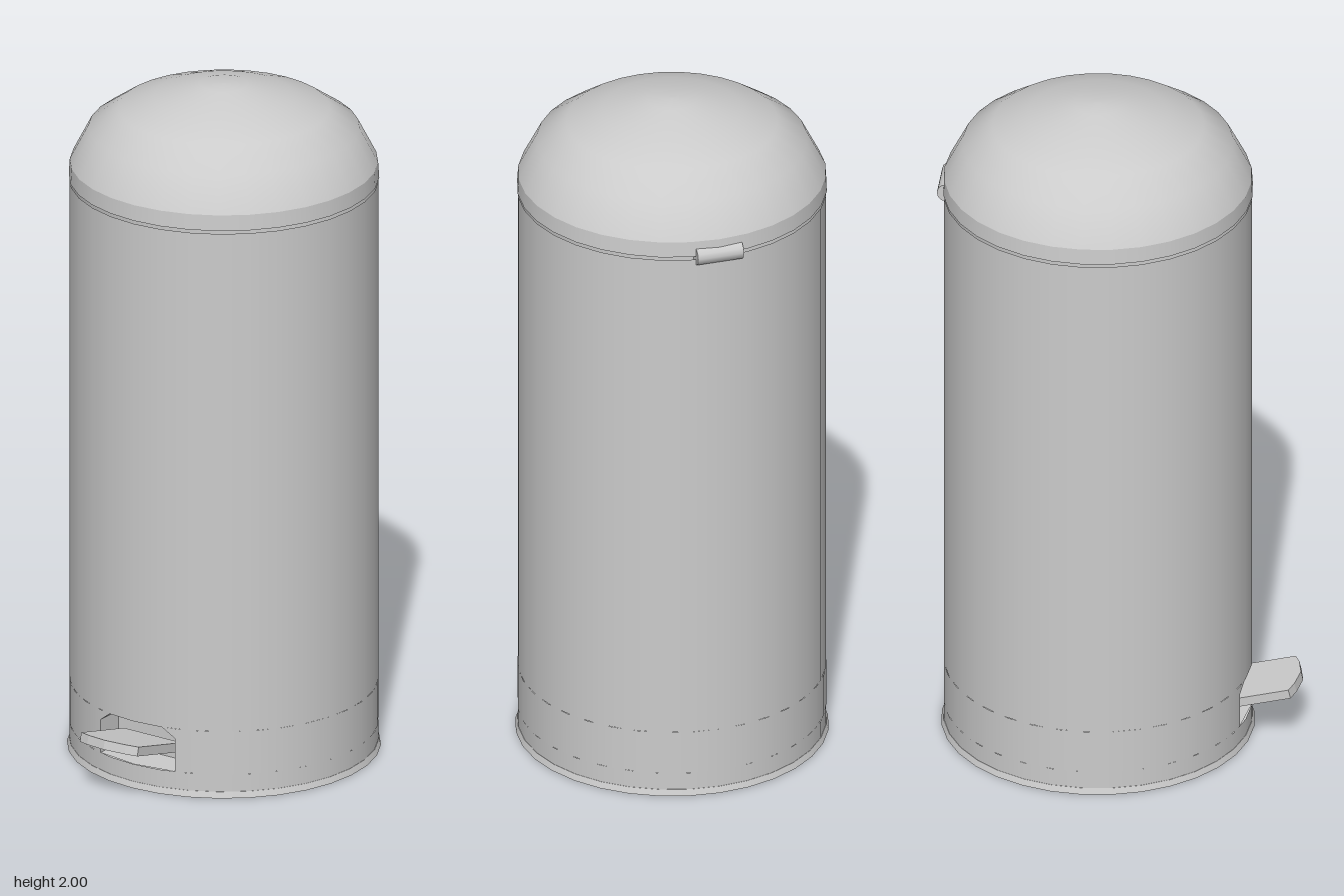
import * as THREE from 'three';

const SIDES = 32, R = 0.438, CZ = -0.063;
const grey = new THREE.MeshStandardMaterial({ color: 0xcccccc });
const thin = new THREE.MeshStandardMaterial({ color: 0xcccccc, side: THREE.DoubleSide });

function add(parent, name, geometry, material = grey) {
  const mesh = new THREE.Mesh(geometry, material);
  mesh.name = name;
  parent.add(mesh);
  return mesh;
}

// Open band of the round wall between two heights, with an optional gap facing the front
function band(y0, y1, gap = 0) {
  return new THREE.CylinderGeometry(R, R, y1 - y0, SIDES, 1, true, gap, Math.PI * 2 - 2 * gap)
    .translate(0, (y0 + y1) / 2, 0);
}

function lathe(points) {
  return new THREE.LatheGeometry(points.map(([r, y]) => new THREE.Vector2(r, y)), SIDES);
}

function fromTriangles(positions) {
  const g = new THREE.BufferGeometry();
  g.setAttribute('position', new THREE.Float32BufferAttribute(positions, 3));
  g.computeVertexNormals();
  return g;
}

export function createModel() {
  const model = new THREE.Group();
  model.name = 'pedalBin';
  const bin = new THREE.Group();
  bin.name = 'bin';
  bin.position.z = CZ;
  model.add(bin);

  // Foot ring with a closed underside
  add(bin, 'base', new THREE.CylinderGeometry(0.439, 0.445, 0.018, SIDES).translate(0, 0.009, 0));

  // Body wall, leaving an opening for the pedal
  const halfW = 0.13, low = 0.07, high = 0.2, shoulder = 0.17, topW = 0.09;
  const gap = Math.asin(halfW / R);
  const body = new THREE.Group();
  body.name = 'body';
  bin.add(body);
  add(body, 'lowerWall', band(0.016, low), thin);
  add(body, 'middleWall', band(low, high, gap), thin);
  add(body, 'upperWall', band(high, 1.709), thin);

  // Chamfered opening corners
  const onWall = (x, y) => [x, y, Math.sqrt(R * R - x * x) - 0.001];
  for (const s of [-1, 1]) {
    add(body, 'openingCorner', fromTriangles([
      ...onWall(s * halfW, shoulder), ...onWall(s * halfW, high), ...onWall(s * topW, high),
    ]), thin);
  }

  // Recess behind the opening
  const outline = [[-halfW, low], [0, low], [halfW, low], [halfW, shoulder],
    [topW, high], [0, high], [-topW, high], [-halfW, shoulder]];
  const backZ = 0.33, sides = [];
  outline.forEach(([x, y], i) => {
    const [x2, y2] = outline[(i + 1) % outline.length];
    const a = onWall(x, y), b = onWall(x2, y2), c = [x2, y2, backZ], d = [x, y, backZ];
    sides.push(...a, ...b, ...c, ...a, ...c, ...d);
  });
  add(bin, 'recessSides', fromTriangles(sides), thin);
  const backShape = new THREE.Shape(outline.map(([x, y]) => new THREE.Vector2(x, y)));
  add(bin, 'recessBack', new THREE.ShapeGeometry(backShape).translate(0, 0, backZ), thin);

  // Sloping pedal plate with a bowed front edge; shape y runs forward
  const plate = new THREE.Shape([[-0.1, -0.24], [0.1, -0.24], [0.1, -0.026], [0.065, -0.012],
    [0, 0], [-0.065, -0.012], [-0.1, -0.026]].map(([x, y]) => new THREE.Vector2(x, y)));
  const pedal = add(model, 'pedal', new THREE.ExtrudeGeometry(plate, { depth: 0.027, bevelEnabled: false })
    .rotateX(Math.PI / 2).scale(1, 1, 1));
  pedal.position.set(0, 0.186, 0.515);
  pedal.rotation.x = -0.24;

  // Domed lid with an upright lip
  const lid = new THREE.Group();
  lid.name = 'lid';
  bin.add(lid);
  add(lid, 'lidLip', lathe([[0.44, 1.719], [0.437, 1.765]]), thin);
  add(lid, 'lidDome', lathe([[0.437, 1.765], [0.384, 1.868], [0.3, 1.926], [0.2, 1.961],
    [0.07, 1.998], [0, 2]]), thin);

  // Hinge barrel at the back
  add(model, 'hinge', new THREE.CylinderGeometry(0.027, 0.027, 0.136, 12)
    .rotateZ(Math.PI / 2).translate(0, 1.717, -0.488));

  return model;
}
